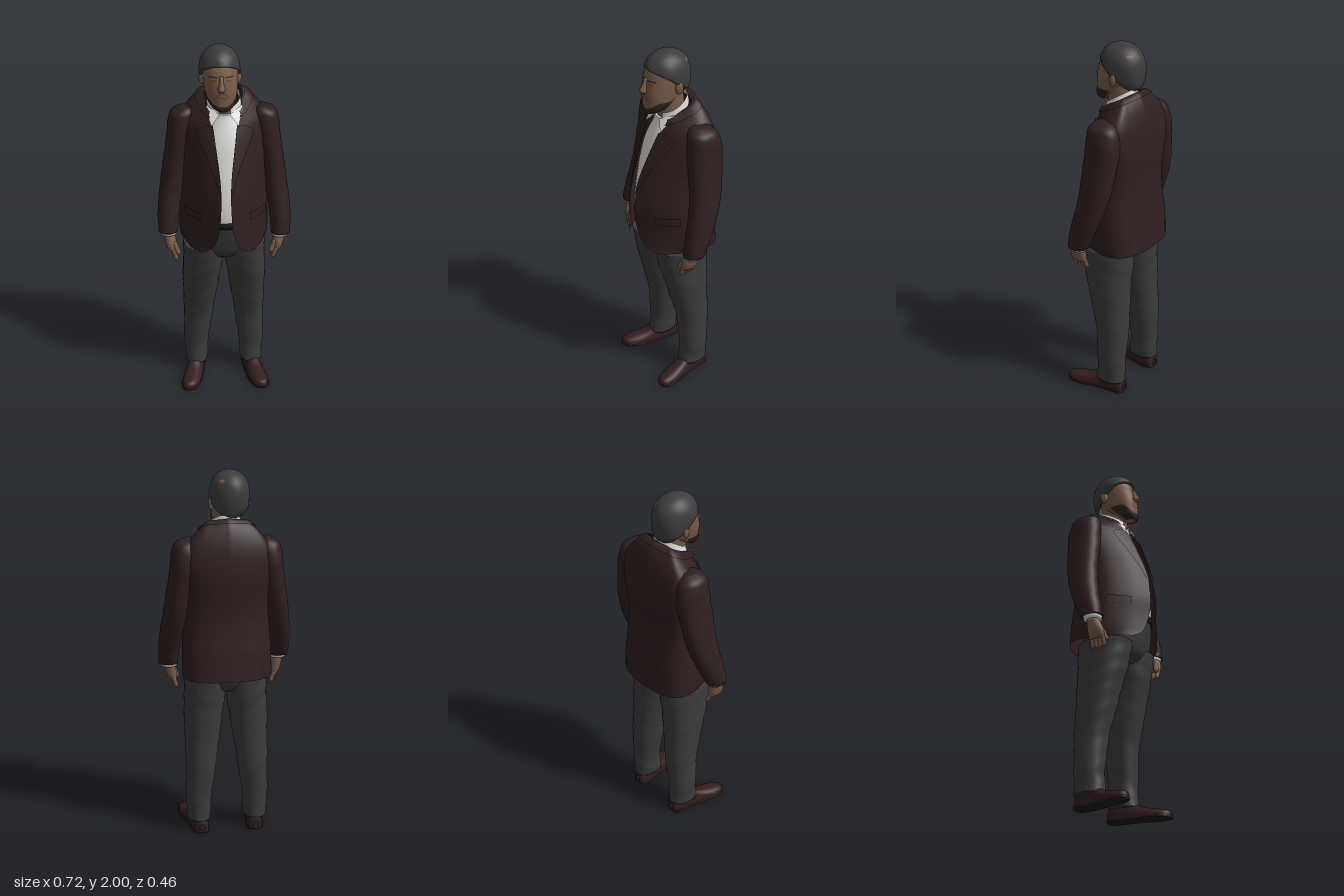
import * as THREE from 'three';
import { mergeVertices } from 'three/addons/utils/BufferGeometryUtils.js';

const mat = (name, color, side = THREE.FrontSide) => {
  const m = new THREE.MeshStandardMaterial({ color, side });
  m.name = name;
  return m;
};

// Smooth interpolation through rows of numbers, t from 0 to 1
function sample(rows, t) {
  const last = rows.length - 1, f = Math.min(Math.max(t, 0), 1) * last;
  const i = Math.min(Math.floor(f), last - 1), k = f - i;
  const at = (n) => rows[Math.min(Math.max(n, 0), last)];
  const [a, b, c, d] = [at(i - 1), at(i), at(i + 1), at(i + 2)];
  return b.map((p, n) => p + 0.5 * k * (c[n] - a[n] + k * (2 * a[n] - 5 * p + 4 * c[n] - d[n] + k * (3 * (p - c[n]) + d[n] - a[n]))));
}

// Smooth surface from a function of u and v
function sheet(fn, nu, nv) {
  const pos = [], idx = [];
  for (let j = 0; j <= nv; j++) for (let i = 0; i <= nu; i++) pos.push(...fn(i / nu, j / nv));
  for (let j = 0; j < nv; j++) for (let i = 0; i < nu; i++) {
    const a = j * (nu + 1) + i, b = a + 1, c = a + nu + 1, d = c + 1;
    idx.push(a, b, d, a, d, c);
  }
  let g = new THREE.BufferGeometry();
  g.setAttribute('position', new THREE.Float32BufferAttribute(pos, 3));
  g.setIndex(idx);
  g = mergeVertices(g, 1e-5);
  g.computeVertexNormals();
  return g;
}

const mirror = (fn, s) => s > 0 ? fn : (u, v) => { const [x, y, z] = fn(1 - u, v); return [-x, y, z]; };
const spow = (x, p) => Math.sign(x) * Math.abs(x) ** p;

// Point on a body ring; row = [y, cx, cz, rx, rz]
function ring(rows, a, t, k = 1, wrinkle = 0) {
  const [y, cx, cz, rx, rz] = sample(rows, t);
  const r = k * (1 + wrinkle * Math.sin(a * 2 + y * 45) * Math.cos(y * 17 + a));
  return [cx + r * rx * spow(Math.sin(a), 0.9), y, cz + r * rz * spow(Math.cos(a), 0.9)];
}

// Closed upright form through rings, bottom to top
function loft(rows, { side = 1, nu = 32, nv = 30, wrinkle = 0 } = {}) {
  return sheet(mirror((u, v) => ring(rows, u * Math.PI * 2, (v * nv - 1) / (nv - 2), v === 0 || v === 1 ? 0 : 1, wrinkle), side), nu, nv);
}

// Jacket rows: [y, half opening, front z, half width, back z, forward tilt]
const JACKET = [
  [0.905, 0.125, 0.175, 0.24, -0.222, 0], [0.95, 0.07, 0.205, 0.243, -0.22, 0], [1.05, 0.036, 0.222, 0.24, -0.213, 0],
  [1.15, 0.028, 0.228, 0.235, -0.2, 0], [1.25, 0.025, 0.214, 0.227, -0.192, 0], [1.35, 0.03, 0.186, 0.225, -0.196, 0],
  [1.45, 0.042, 0.15, 0.235, -0.203, 0], [1.53, 0.052, 0.12, 0.238, -0.2, 0.05], [1.6, 0.06, 0.092, 0.222, -0.185, 0.15],
  [1.65, 0.07, 0.072, 0.17, -0.155, 0.4], [1.68, 0.08, 0.055, 0.12, -0.122, 0.6], [1.69, 0.075, 0.045, 0.1, -0.105, 0.62],
];
// h runs from the front edge (0) to the middle of the back (1)
function jacketPoint(h, t, off = 0) {
  const [y, g, zf, w, zb, tilt] = sample(JACKET, t), d = zf - zb;
  const [x, z] = sample([[g, zf], [g + 0.45 * (w - g), zf - 0.15 * d], [0.9 * w, zf - 0.4 * d], [w, zf - 0.65 * d],
    [0.88 * w, zb + 0.13 * d], [0.5 * w, zb + 0.012], [0, zb]], h);
  const a = Math.PI * h;
  return [x + off * Math.sin(a), y - tilt * z + off * tilt, z + off * Math.cos(a)];
}
const wrap = (u, t, off) => {
  const [x, y, z] = jacketPoint(u < 0.5 ? 2 * u : 2 - 2 * u, t, off);
  return [u > 0.5 ? -x : x, y, z];
};

export function createModel() {
  const model = new THREE.Group();
  model.name = 'standingMan';
  const cloth = mat('jacketMaroon', 0x301f20, THREE.DoubleSide), trouser = mat('trouserGrey', 0x3b3b3b);
  const white = mat('shirtWhite', 0xdcdcda, THREE.DoubleSide), skin = mat('skin', 0x785b47);
  const hairMat = mat('hairGrey', 0x3c3c3c, THREE.DoubleSide), beardMat = mat('beardDark', 0x2c2826, THREE.DoubleSide);
  const leather = mat('shoeLeather', 0x351d1d), black = mat('soleBlack', 0x1b1a1a), lip = mat('lipBrown', 0x5f4335);
  const add = (name, geo, m, parent = model) => {
    const mesh = new THREE.Mesh(geo, m);
    mesh.name = name;
    parent.add(mesh);
    return mesh;
  };

  // Jacket body, collar and back flap
  add('jacketBody', sheet((u, v) => wrap(u, v, 0), 72, 56), cloth);
  add('jacketCollar', sheet((u, v) => wrap(u, 0.86 + 0.14 * v, 0.008), 60, 8), cloth);
  add('backFlap', sheet((u, v) => wrap(0.39 + 0.22 * u, 0.17 * v, 0.007 * (1 - v)), 20, 6), cloth);

  // Shirt, belt and hips
  add('shirt', loft([[1.05, 0, 0, 0.16, 0.178], [1.15, 0, 0, 0.16, 0.182], [1.3, 0, -0.01, 0.155, 0.172],
    [1.42, 0, -0.02, 0.15, 0.155], [1.52, 0, -0.03, 0.135, 0.137], [1.62, 0, -0.03, 0.085, 0.097], [1.65, 0, -0.03, 0.08, 0.09]]), white);
  add('shirtCollar', sheet((u, v) => {
    const a = 0.35 + u * (Math.PI * 2 - 0.7), z = -0.022 + (0.088 - 0.01 * v) * Math.cos(a);
    return [(0.092 - 0.01 * v) * Math.sin(a), 1.665 + 0.052 * v - 0.6 * z, z];
  }, 40, 4), white);
  add('belt', loft([[1.045, 0, 0, 0.165, 0.183], [1.08, 0, 0, 0.165, 0.184]], { nv: 4 }), black);
  add('hips', loft([[0.82, 0, -0.02, 0.17, 0.1], [0.86, 0, -0.012, 0.2, 0.135], [0.92, 0, -0.008, 0.215, 0.155],
    [1.05, 0, 0, 0.18, 0.175]]), trouser);

  for (const s of [1, -1]) {
    const side = s > 0 ? 'left' : 'right';
    const patch = (name, h0, h1, t0, t1, off, nu = 6, nv = 4) => add(side + name,
      sheet(mirror((u, v) => jacketPoint(h0 + (h1 - h0) * u, t0 + (t1 - t0) * v, off), s), nu, nv), cloth);

    // Lapel widening upward to a notch, and pocket flap
    add(side + 'Lapel', sheet(mirror((u, v) => {
      const width = 0.19 * Math.min(v / 0.85, (1.12 - v) / 0.27);
      return jacketPoint(u * width, 0.33 + 0.42 * v, 0.009 * Math.min(1, v * 6));
    }, s), 6, 24), cloth);
    patch('PocketFlap', 0.17, 0.33, 0.22, 0.262, 0.008);

    // Sleeve, cuff
    const lift = s > 0 ? 0 : 0.022;
    add(side + 'Sleeve', loft([[0.955 + lift, 0.305, 0.035, 0.053, 0.058], [1.05, 0.304, 0.01, 0.057, 0.07], [1.2, 0.284, -0.037, 0.063, 0.083],
      [1.35, 0.26, -0.06, 0.064, 0.092], [1.5, 0.234, -0.07, 0.068, 0.096], [1.58, 0.224, -0.07, 0.068, 0.09],
      [1.63, 0.214, -0.065, 0.062, 0.074], [1.655, 0.2, -0.06, 0.03, 0.04]], { side: s, nv: 40, wrinkle: 0.02 }), cloth);
    add(side + 'Cuff', loft([[0.938 + lift, 0.302, 0.038, 0.044, 0.048], [0.98 + lift, 0.305, 0.035, 0.046, 0.05]], { side: s, nv: 5 }), white);

    // Hand: palm, four curled fingers, thumb
    const hand = new THREE.Group();
    hand.name = side + 'Hand';
    model.add(hand);
    add('palm', loft([[0.858, 0.28, 0.05, 0.02, 0.04], [0.875, 0.285, 0.05, 0.027, 0.045], [0.91, 0.293, 0.048, 0.031, 0.045],
      [0.96, 0.3, 0.038, 0.03, 0.034]], { side: s, nu: 20, nv: 12 }), skin, hand);
    for (let i = 0; i < 4; i++) {
      const finger = add('finger', new THREE.CapsuleGeometry(0.0125, 0.05 - 0.005 * Math.abs(i - 1.5), 4, 10), skin, hand);
      finger.position.set(s * 0.273, 0.848, 0.016 + i * 0.023);
      finger.rotation.z = -s * 0.35;
    }
    const thumb = add('thumb', new THREE.CapsuleGeometry(0.0135, 0.05, 4, 10), skin, hand);
    thumb.position.set(s * 0.262, 0.885, 0.082);
    thumb.rotation.set(-0.25, 0, -s * 0.35);

    // Trouser leg
    add(side + 'TrouserLeg', loft([[0.07, 0.16, -0.066, 0.064, 0.086], [0.12, 0.158, -0.068, 0.066, 0.082], [0.2, 0.159, -0.07, 0.071, 0.08],
      [0.4, 0.144, -0.067, 0.084, 0.093], [0.6, 0.131, -0.04, 0.1, 0.115], [0.78, 0.116, -0.02, 0.112, 0.14],
      [0.9, 0.108, -0.01, 0.115, 0.152]], { side: s, nv: 44, wrinkle: 0.022 }), trouser);

    // Shoe and sole, heel to toe: [z, cx, half width, height]
    const shoe = [[-0.152, 0.152, 0.015, 0.045], [-0.14, 0.152, 0.038, 0.07], [-0.09, 0.155, 0.045, 0.095], [-0.02, 0.165, 0.046, 0.09],
      [0.05, 0.18, 0.051, 0.06], [0.11, 0.194, 0.053, 0.047], [0.16, 0.204, 0.043, 0.038], [0.183, 0.208, 0.026, 0.028], [0.19, 0.209, 0.004, 0.01]];
    add(side + 'Shoe', sheet(mirror((u, v) => {
      const [z, cx, rx, h] = sample(shoe, v), a = Math.PI * u;
      return [cx + rx * spow(Math.cos(a), 0.85), 0.01 + h * Math.max(0, Math.sin(a)) ** 0.8, z];
    }, s), 20, 28), leather);
    add(side + 'Sole', sheet(mirror((u, v) => {
      const [z, cx, rx] = sample(shoe, v), a = Math.PI * 2 * u, k = v === 0 || v === 1 ? 0 : 1;
      return [cx + k * (rx + 0.004) * spow(Math.cos(a), 0.4), 0.008 + k * 0.008 * spow(Math.sin(a), 0.4), z];
    }, s), 20, 28), black);

    // Shirt collar point
    const [A, B, C] = [[0.026, 1.655, 0.07], [0.072, 1.6, 0.094], [0.092, 1.69, 0.02]];
    add(side + 'CollarPoint', sheet(mirror((u, v) => A.map((p, n) => p + (1 - v) * ((1 - u) * (B[n] - p) + u * (C[n] - p))), s), 4, 4), white);
  }

  // Neck and head
  const head = new THREE.Group();
  head.name = 'head';
  model.add(head);
  add('neck', loft([[1.6, 0, -0.02, 0.065, 0.07], [1.68, -0.006, -0.018, 0.066, 0.07], [1.8, -0.015, -0.01, 0.07, 0.08]]), skin, head);
  const skull = [[1.692, -0.01, 0.09, 0.025, 0.03], [1.71, -0.012, 0.075, 0.052, 0.054], [1.75, -0.015, 0.044, 0.075, 0.086], [1.8, -0.018, 0.022, 0.087, 0.108],
    [1.86, -0.02, 0.005, 0.091, 0.115], [1.92, -0.02, -0.01, 0.09, 0.108], [1.96, -0.02, -0.015, 0.07, 0.085], [1.98, -0.02, -0.02, 0.02, 0.03]];
  add('face', loft(skull, { nv: 36 }), skin, head);
  add('nose', loft([[1.803, -0.02, 0.125, 0.016, 0.02], [1.815, -0.02, 0.126, 0.02, 0.029], [1.845, -0.02, 0.119, 0.012, 0.022],
    [1.878, -0.02, 0.112, 0.01, 0.012]], { nu: 16, nv: 12 }), skin, head);

  // Beard along the jaw, rising toward the ears
  add('beard', sheet((u, v) => {
    const a = (u - 0.5) * 3.6, top = 0.2 + 0.13 * Math.min(1, Math.abs(a)) ** 2;
    const [x, y, z] = ring(skull, a, v * top, 1.05);
    return [x, y - 0.004, z];
  }, 28, 8), beardMat, head);
  add('moustache', sheet((u, v) => ring(skull, (u - 0.5) * 0.75, 0.395 + 0.025 * v - 0.06 * (2 * u - 1) ** 2, 1.02), 12, 3), lip, head);
  add('mouth', sheet((u, v) => ring(skull, (u - 0.5) * 0.55, 0.335 + 0.015 * v, 1.015), 10, 2), lip, head);

  for (const s of [1, -1]) {
    const side = s > 0 ? 'left' : 'right';
    const ear = add(side + 'Ear', new THREE.SphereGeometry(1, 14, 10), skin, head);
    ear.scale.set(0.014, 0.034, 0.022);
    ear.position.set(-0.02 + s * 0.096, 1.825, -0.018);
    ear.rotation.y = -s * 0.3;
    const feature = (name, m, t, dt, a0, a1, k) => add(side + name,
      sheet((u, v) => ring(skull, s > 0 ? a0 + (a1 - a0) * u : -a1 + (a1 - a0) * u, t + dt * v, k), 8, 2), m, head);
    feature('Eyebrow', beardMat, 0.595, 0.016, 0.16, 0.68, 1.03);
    feature('Eye', lip, 0.55, 0.02, 0.22, 0.54, 1.012);
  }

  // Hair: low at the nape, high over the forehead, with soft waves
  add('hair', sheet((u, v) => {
    const a = u * Math.PI * 2, c = Math.cos(a), y0 = 1.838 + 0.082 * Math.sign(c) * Math.abs(c) ** 0.8;
    const y = y0 + (2 - y0) * Math.sin(v * Math.PI / 2), q = (y - 1.86) / 0.14;
    const k = q > 0 ? Math.max(0, 1 - q ** 2.6) ** 0.5 : 1 - 0.32 * q * q;
    const r = k * (v === 0 ? 0.84 : 1 + 0.018 * Math.sin(5 * a + 7 * v) * (1 - v));
    return [-0.024 + r * 0.106 * Math.sin(a), y, -0.008 + r * 0.127 * c];
  }, 48, 22), hairMat, head);

  return model;
}
